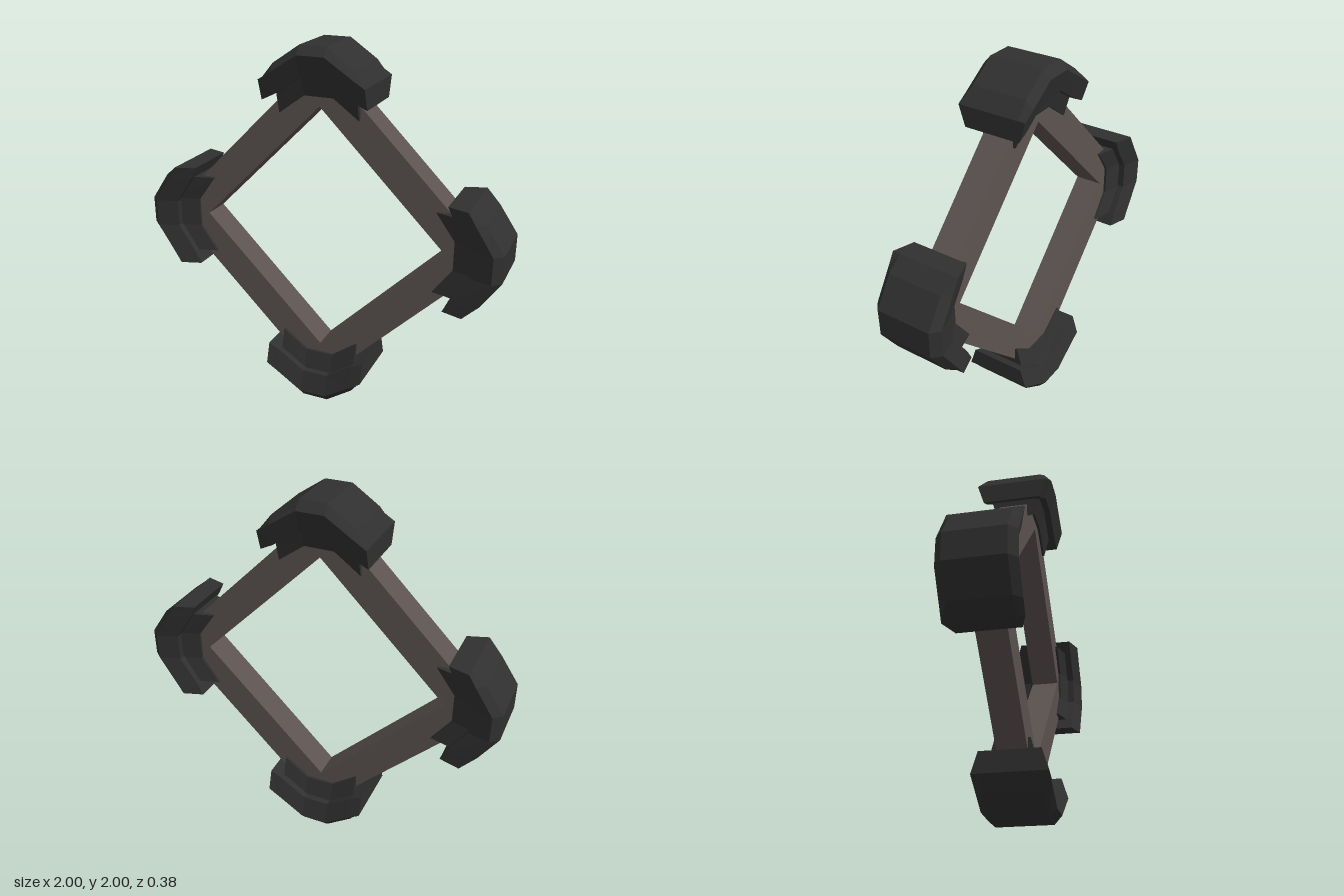
import * as THREE from 'three';

const frameMaterial = new THREE.MeshStandardMaterial({ color: 0x5c5350, flatShading: true });
const capMaterial = new THREE.MeshStandardMaterial({ color: 0x303030, flatShading: true });

// Closed solid through sections along x; each section is a loop of [y, z] turning from +y to +z
function loft(sections) {
  const pos = [];
  const tri = (...pts) => pts.forEach((p) => pos.push(...p));
  const rings = sections.map(({ x, loop }) => loop.map(([y, z]) => [x, y, z]));
  const n = rings[0].length;
  for (let i = 0; i < rings.length - 1; i++) {
    for (let j = 0; j < n; j++) {
      const k = (j + 1) % n;
      const a = rings[i][j], b = rings[i + 1][j], c = rings[i + 1][k], d = rings[i][k];
      tri(a, d, c);
      tri(a, c, b);
    }
  }
  const first = rings[0], last = rings[rings.length - 1];
  for (let j = 1; j < n - 1; j++) {
    tri(first[0], first[j + 1], first[j]);
    tri(last[0], last[j], last[j + 1]);
  }
  const geometry = new THREE.BufferGeometry();
  geometry.setAttribute('position', new THREE.Float32BufferAttribute(pos, 3));
  geometry.computeVertexNormals();
  return geometry;
}

// Half profile rows [x, top, middle, bottom], mirrored in x; half depths at those three heights
function bentBlock(rows, depths) {
  const section = (x, heights) => {
    const half = heights.map((y, i) => [y, depths[i]]);
    return { x, loop: [...half, ...half.map(([y, z]) => [y, -z]).reverse()] };
  };
  return loft([
    ...[...rows].reverse().map(([x, ...h]) => section(-x, h)),
    ...rows.map(([x, ...h]) => section(x, h)),
  ]);
}

function diamond(Type, r) {
  return new Type([[r, 0], [0, r], [-r, 0], [0, -r]].map(([x, y]) => new THREE.Vector2(x, y)));
}

export function createModel() {
  const model = new THREE.Group();
  model.name = 'diamondFrameWithCornerCaps';

  // Square frame standing on one corner
  const shape = diamond(THREE.Shape, 0.93);
  shape.holes.push(diamond(THREE.Path, 0.685));
  const depth = 0.154;
  const frameGeometry = new THREE.ExtrudeGeometry(shape, { depth, bevelEnabled: false });
  frameGeometry.translate(0, 0, -depth / 2);
  const frame = new THREE.Mesh(frameGeometry, frameMaterial);
  frame.name = 'frame';
  frame.position.y = 1;
  model.add(frame);

  // Outer guard with chamfered crown, and the narrower pad beneath it
  const guardGeometry = bentBlock([
    [0.073, 1.0, 0.955, 0.84],
    [0.22, 0.9, 0.86, 0.742],
    [0.285, 0.82, 0.82, 0.71],
  ], [0.15, 0.19, 0.155]);
  const padGeometry = bentBlock([
    [0.08, 0.88, 0.84, 0.737],
    [0.22, 0.79, 0.745, 0.635],
  ], [0.12, 0.12, 0.09]);

  // One cap on each corner
  ['top', 'right', 'bottom', 'left'].forEach((side, i) => {
    const cap = new THREE.Group();
    cap.name = `${side}CornerCap`;
    const guard = new THREE.Mesh(guardGeometry, capMaterial);
    guard.name = 'guard';
    const pad = new THREE.Mesh(padGeometry, capMaterial);
    pad.name = 'pad';
    cap.add(guard, pad);
    cap.position.y = 1;
    cap.rotation.z = (i * Math.PI) / 2;
    model.add(cap);
  });

  return model;
}
